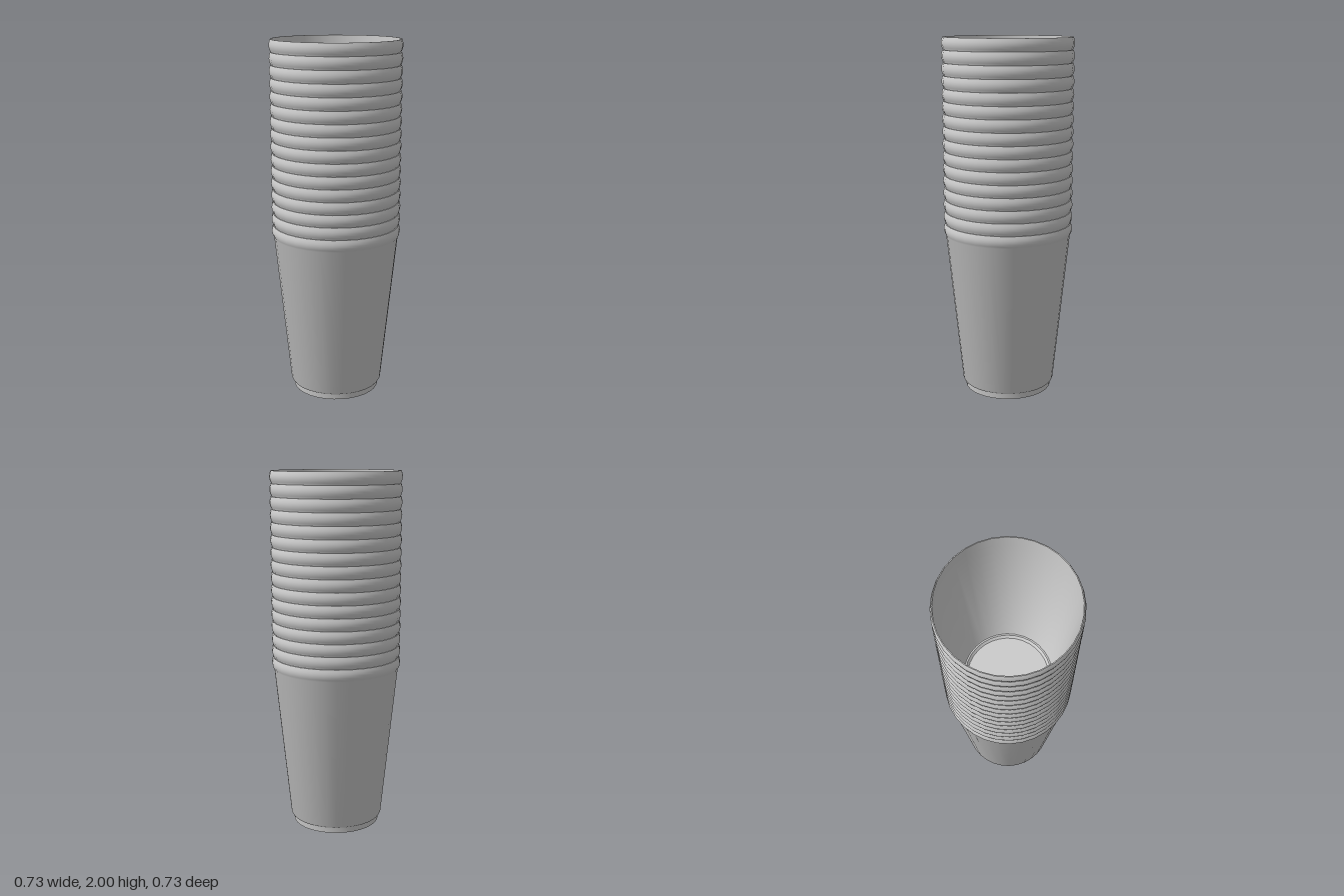
import * as THREE from 'three';
import { toCreasedNormals } from 'three/addons/utils/BufferGeometryUtils.js';

const CUPS = 16;
const CUP_HEIGHT = 0.974;
const STEP = (2 - CUP_HEIGHT) / (CUPS - 1);
const SEGMENTS = 32;

// Closed section of one cup: underside, outer wall, rim, inner wall, floor.
function cupProfile() {
  const points = [
    // recessed underside and foot ring
    [0, 0.024], [0.234, 0.024], [0.237, 0], [0.245, 0],
    // foot and shoulder
    [0.248, 0.034], [0.256, 0.036], [0.262, 0.046],
    // tapered outer wall
    [0.351, CUP_HEIGHT - STEP],
  ];
  // rounded rim band
  const bands = 6;
  for (let i = 1; i <= bands; i++) {
    const t = i / bands;
    points.push([0.352 + 0.003 * t + 0.009 * Math.sin(Math.PI * t), CUP_HEIGHT - STEP * (1 - t)]);
  }
  points.push(
    // lip and inner wall
    [0.350, CUP_HEIGHT], [0.346, CUP_HEIGHT - STEP], [0.254, 0.055],
    // stacking ledge and floor
    [0.249, 0.046], [0.240, 0.046], [0.237, 0.040], [0.228, 0.030], [0, 0.030],
  );
  return points.map(([r, y]) => new THREE.Vector2(r, y));
}

export function createModel() {
  const stack = new THREE.Group();
  stack.name = 'cupStack';

  const material = new THREE.MeshStandardMaterial({ color: 0xcccccc });
  const geometry = toCreasedNormals(
    new THREE.LatheGeometry(cupProfile(), SEGMENTS), THREE.MathUtils.degToRad(40));

  // identical cups nested one inside the next
  for (let i = 0; i < CUPS; i++) {
    const cup = new THREE.Mesh(geometry, material);
    cup.name = `cup${i + 1}`;
    cup.position.y = i * STEP;
    stack.add(cup);
  }
  return stack;
}
